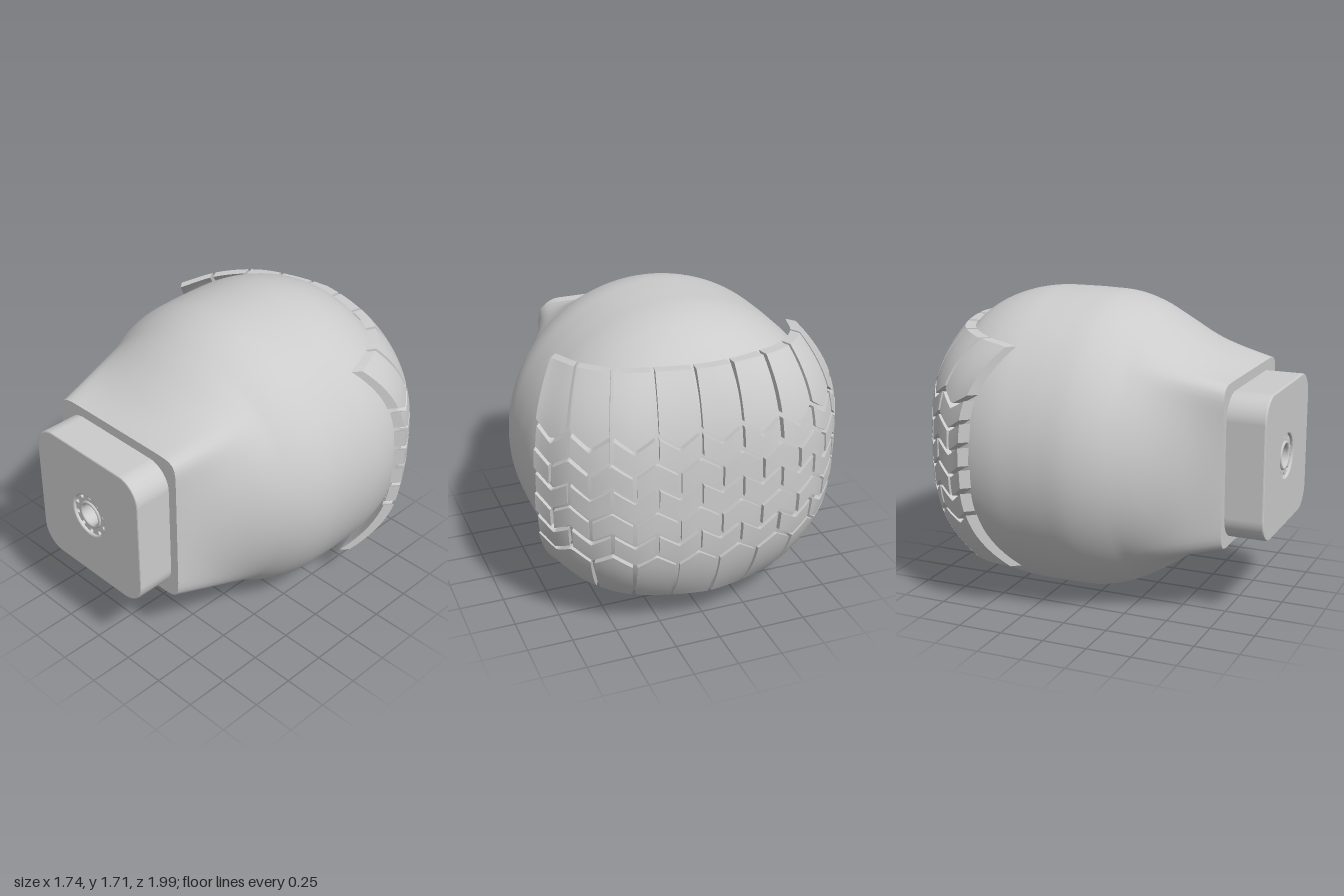
import * as THREE from 'three';

const V2 = (x, y) => new THREE.Vector2(x, y);
const RAD = Math.PI / 180;

// Body: square mouth at the front lofted into a round bulb with a flattened back
function bodyGeometries() {
  const profile = new THREE.SplineCurve([
    [0.785, 0.45], [0.65, 0.512], [0.5, 0.608], [0.35, 0.712], [0.2, 0.795], [0.05, 0.842],
    [-0.1, 0.852], [-0.25, 0.853], [-0.4, 0.848], [-0.55, 0.818], [-0.7, 0.752], [-0.82, 0.645],
    [-0.9, 0.52], [-0.945, 0.36], [-0.963, 0.18], [-0.966, 0.001],
  ].map(([z, r]) => V2(z, r))).getPoints(90);
  const seg = 128, pos = [], idx = [], rim = [];
  profile.forEach(({ x: z, y: radius }, j) => {
    const corner = 0.605 + (0.785 - z) * 0.3;
    const square = THREE.MathUtils.clamp((corner / radius - 1) / 0.345, 0, 1) * (z > 0 ? 1 : 0);
    const shift = Math.max(0, z) / 0.785;
    for (let i = 0; i < seg; i++) {
      const a = (i / seg) * Math.PI * 2, c = Math.cos(a), s = Math.sin(a);
      const sq = Math.pow(Math.abs(c) ** 14 + Math.abs(s) ** 14, -1 / 14);
      const r = radius * (1 + square * (sq - 1));
      const x = c * r - 0.006 * shift, y = 0.853 + s * r + 0.014 * shift;
      pos.push(x, y, z);
      if (j === 0) rim.push(V2(x, y));
      if (j < profile.length - 1) {
        const p = j * seg + i, q = j * seg + ((i + 1) % seg);
        idx.push(p, p + seg, q, q, p + seg, q + seg);
      }
    }
  });
  const shell = new THREE.BufferGeometry();
  shell.setAttribute('position', new THREE.Float32BufferAttribute(pos, 3));
  shell.setIndex(idx);
  shell.computeVertexNormals();
  const face = new THREE.ShapeGeometry(new THREE.Shape(rim)).translate(0, 0, 0.785);
  return [shell, face];
}

function roundedSquare(h, r) {
  const s = new THREE.Shape();
  s.absarc(h - r, h - r, r, 0, Math.PI / 2);
  s.absarc(-h + r, h - r, r, Math.PI / 2, Math.PI);
  s.absarc(-h + r, -h + r, r, Math.PI, Math.PI * 1.5);
  s.absarc(h - r, -h + r, r, Math.PI * 1.5, Math.PI * 2);
  s.closePath();
  return s;
}

const hole = (r, x = 0, y = 0) => new THREE.Path().absarc(x, y, r, 0, Math.PI * 2, true);

// Tread surface: distance from a vertical axis at z = 0.5, by angle from the back and height
const END = 40, PERIOD = 8.8, HALF_HEIGHT = 0.665;
const reach = new THREE.SplineCurve(
  [[0, 1.49], [10, 1.502], [20, 1.512], [30, 1.462], [40, 1.362]].map(([a, r]) => V2(a, r)));

function treadPoint(angle, h, depth) {
  const k = Math.abs(angle) / END;
  const rho = reach.getPoint(Math.min(1, k)).y
    - (0.14 + 0.13 * k) * Math.abs(h / HALF_HEIGHT) ** 3 - depth;
  return [rho * Math.sin(angle * RAD), 0.867 + h * (1 - 0.08 * k * k),
    0.5 - rho * Math.cos(angle * RAD)];
}

// Zigzag height: lowest at multiples of the period, highest halfway between
function zigzag(angle) {
  const f = Math.abs(angle / PERIOD - Math.round(angle / PERIOD)) * 2;
  return (f - 0.5) * 0.075;
}

// A curved block between two angles and two height rules
function treadBlock(a0, a1, low, high, rows) {
  const g = new THREE.BoxGeometry(1, 1, 1, 12, rows, 1), p = g.attributes.position;
  for (let i = 0; i < p.count; i++) {
    const a = THREE.MathUtils.lerp(a0, a1, p.getX(i) + 0.5);
    const h = THREE.MathUtils.lerp(low(a), high(a), p.getY(i) + 0.5);
    p.setXYZ(i, ...treadPoint(a, h, p.getZ(i) > 0 ? 0.06 : 0));
  }
  g.computeVertexNormals();
  return g;
}

export function createModel() {
  const model = new THREE.Group();
  const grey = new THREE.MeshStandardMaterial({ color: 0xcccccc });
  const add = (name, geometry, parent = model) => {
    const mesh = new THREE.Mesh(geometry, grey);
    mesh.name = name;
    parent.add(mesh);
    return mesh;
  };

  const [shell, face] = bodyGeometries();
  add('body', shell);
  add('bodyFrontFace', face);

  // Square neck with a round socket
  const neck = new THREE.Group();
  neck.name = 'neck';
  neck.position.set(-0.01, 0.86, 0);
  model.add(neck);
  const neckShape = roundedSquare(0.392, 0.13);
  neckShape.holes.push(hole(0.13));
  add('neckBlock', new THREE.ExtrudeGeometry(neckShape, {
    depth: 0.215, bevelThickness: 0.008, bevelSize: 0.008, bevelSegments: 2, curveSegments: 24,
  }).translate(0, 0, 0.777), neck);

  // Hub ring with ten small notches, set in the socket
  const ringShape = new THREE.Shape().absarc(0, 0, 0.131, 0, Math.PI * 2);
  ringShape.holes.push(hole(0.062));
  for (let i = 0; i < 10; i++) {
    const a = (i / 10) * Math.PI * 2 + 0.3;
    ringShape.holes.push(hole(0.013, 0.111 * Math.cos(a), 0.111 * Math.sin(a)));
  }
  add('hubRing', new THREE.ExtrudeGeometry(ringShape, {
    depth: 0.1, bevelEnabled: false, curveSegments: 24,
  }).translate(0, 0, 0.885), neck);
  add('hubLip', new THREE.TorusGeometry(0.072, 0.01, 8, 40).translate(0, 0, 0.985), neck);
  add('hubFloor', new THREE.CircleGeometry(0.13, 40).translate(0, 0, 0.92), neck);

  // Tread wrapped around the back
  const tread = new THREE.Group();
  tread.name = 'tread';
  model.add(tread);
  const ROWS = 5, INNER = 0.345, GAP = 0.014, CUT = 0.42;

  // Large shoulder blocks, staggered between top and bottom
  const topCuts = [-END, -31, -22, -13.2, -4.4, 4.4, 13.2, 22, 31, END];
  const bottomCuts = [-END, -26.4, -17.6, -8.8, 0, 8.8, 17.6, 26.4, END];
  for (let i = 0; i < topCuts.length - 1; i++) {
    add('topShoulderBlock', treadBlock(topCuts[i] + CUT, topCuts[i + 1] - CUT,
      a => INNER + GAP + zigzag(a), () => HALF_HEIGHT, 8), tread);
  }
  for (let i = 0; i < bottomCuts.length - 1; i++) {
    add('bottomShoulderBlock', treadBlock(bottomCuts[i] + CUT, bottomCuts[i + 1] - CUT,
      () => -HALF_HEIGHT, a => -INNER - GAP + zigzag(a), 8), tread);
  }

  // Chevron rows, every second row shifted by half a period
  const step = (2 * INNER) / ROWS;
  for (let row = 0; row < ROWS; row++) {
    const base = -INNER + row * step;
    for (let k = -5; k <= 5; k++) {
      const mid = (k + (row % 2) / 2) * PERIOD;
      const a0 = Math.max(-END, mid - PERIOD / 2) + CUT;
      const a1 = Math.min(END, mid + PERIOD / 2) - CUT;
      if (a1 - a0 < 1) continue;
      add('chevron', treadBlock(a0, a1, a => base + GAP + zigzag(a),
        a => base + step - GAP + zigzag(a), 2), tread);
    }
  }
  return model;
}
